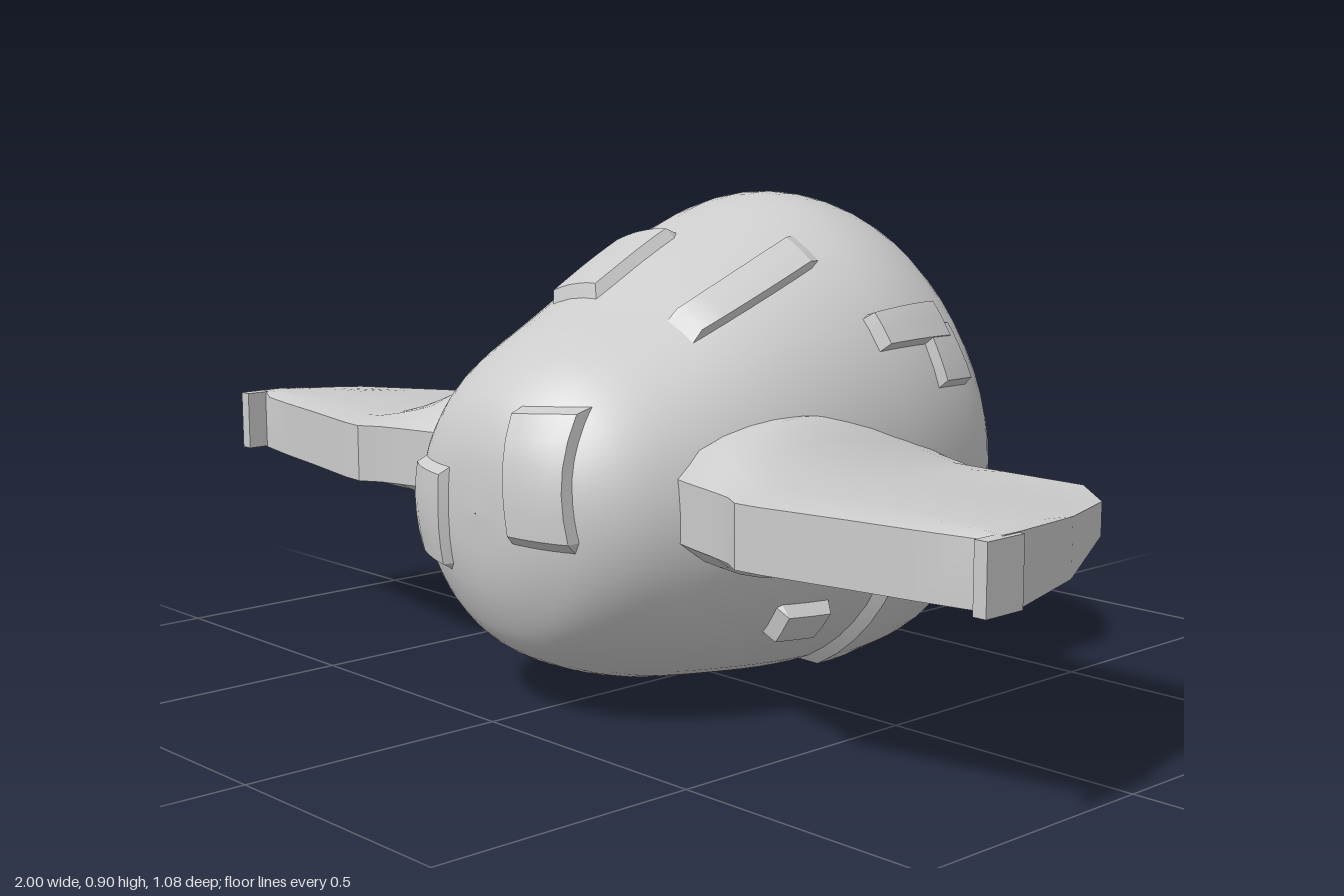
import * as THREE from 'three';
import { toCreasedNormals } from 'three/addons/utils/BufferGeometryUtils.js';

const V2 = (x, y) => new THREE.Vector2(x, y);
const V3 = (x, y, z) => new THREE.Vector3(x, y, z);
const { lerp, smoothstep, degToRad } = THREE.MathUtils;
const material = new THREE.MeshStandardMaterial({ color: 0xcccccc });

function part(name, geometry) {
  const mesh = new THREE.Mesh(geometry, material);
  mesh.name = name;
  return mesh;
}

// Joins rows of points into a skin; wrap closes each row, cap fills the last one
function skin(rows, wrap = false, cap = false) {
  const n = rows[0].length, index = [];
  for (let r = 0; r < rows.length - 1; r++) {
    for (let c = 0; c < (wrap ? n : n - 1); c++) {
      const a = r * n + c, d = r * n + (c + 1) % n;
      index.push(a, a + n, d + n, a, d + n, d);
    }
  }
  const last = (rows.length - 1) * n;
  if (cap) for (let c = 1; c < n - 1; c++) index.push(last, last + c + 1, last + c);
  const geometry = new THREE.BufferGeometry().setFromPoints(rows.flat());
  geometry.setIndex(index);
  geometry.computeVertexNormals();
  return geometry;
}

// Egg-shaped hull: tilted rings from nose to tail, then into the rear opening
function hullGeometry() {
  // zTop, yTop, zBottom, yBottom, halfWidth
  const rings = [
    [0.53, 0.381, 0.53, 0.379, 0.001], [0.525, 0.48, 0.52, 0.28, 0.11],
    [0.50, 0.555, 0.495, 0.20, 0.19], [0.46, 0.605, 0.45, 0.13, 0.25],
    [0.39, 0.66, 0.37, 0.082, 0.305], [0.25, 0.73, 0.25, 0.043, 0.36],
    [0.10, 0.81, 0.10, 0.02, 0.398], [-0.07, 0.885, -0.06, 0.004, 0.423],
    [-0.18, 0.905, -0.20, 0.006, 0.432], [-0.28, 0.88, -0.34, 0.032, 0.42],
    [-0.32, 0.82, -0.44, 0.085, 0.38], [-0.325, 0.75, -0.475, 0.17, 0.315],
    [-0.30, 0.69, -0.44, 0.24, 0.23], [-0.24, 0.65, -0.31, 0.28, 0.19],
    [-0.23, 0.461, -0.23, 0.459, 0.001],
  ];
  const top = new THREE.SplineCurve(rings.map(r => V2(r[0], r[1])));
  const bottom = new THREE.SplineCurve(rings.map(r => V2(r[2], r[3])));
  const width = new THREE.SplineCurve(rings.map(r => V2(r[4], 0)));
  const rows = [], steps = 56, sides = 56;
  for (let k = 0; k <= steps; k++) {
    const a = top.getPoint(k / steps), b = bottom.getPoint(k / steps), w = width.getPoint(k / steps).x;
    rows.push(Array.from({ length: sides }, (_, j) => {
      const t = (j / sides) * Math.PI * 2, f = (Math.sin(t) + 1) / 2;
      return V3(w * Math.cos(t), lerp(b.y, a.y, f), lerp(b.x, a.x, f));
    }));
  }
  return skin(rows, true);
}

// Wing: thick leading edge, thin trailing edge, flared root
function wingGeometry() {
  // x, zFront, zBack
  const stations = [
    [0.30, 0.34, -0.2], [0.34, 0.352, -0.23], [0.38, 0.363, -0.23], [0.41, 0.37, -0.228],
    [0.44, 0.378, -0.22], [0.48, 0.39, -0.21], [0.52, 0.414, -0.21], [0.57, 0.41, -0.21],
    [0.73, 0.38, -0.21], [0.85, 0.36, -0.1], [0.95, 0.34, 0.11], [0.99, 0.33, 0.29],
  ];
  const n = 12;
  const rows = stations.map(([x, front, back]) => {
    const flare = Math.min(0.09, 0.085 * Math.max(0, (0.56 - x) / 0.16) ** 1.5);
    const upper = [], lower = [];
    for (let i = 0; i <= n; i++) {
      const z = lerp(front, back, i / n), f = smoothstep(z, -0.2, 0.28);
      const bulge = flare * Math.max(0, Math.sin(Math.PI * i / n)) ** 0.7;
      upper.push(V3(x, lerp(0.435, 0.468, f) + bulge - (i === 0 ? 0.01 : 0), z));
      lower.unshift(V3(x, lerp(0.385, 0.35, f) - bulge, z));
    }
    return [...upper, ...lower];
  });
  return toCreasedNormals(skin(rows, true, true), 0.6);
}

// Raised plate following the hull. Corners run counter-clockwise from outside:
// [x, y] for nose plates, [angle in degrees, z] for plates around the hull
function plate(hull, name, corners, height = 0.02, nose = false) {
  const [bl, br, tr, tl] = corners.map(c => V2(...c));
  const ray = new THREE.Raycaster();
  const stops = [0, 0.1, 0.26, 0.42, 0.58, 0.74, 0.9, 1];
  const rows = stops.map((s, i) => stops.map((t, j) => {
    const p = bl.clone().lerp(br, s).lerp(tl.clone().lerp(tr, s), t);
    if (nose) {
      ray.set(V3(p.x, p.y, 2), V3(0, 0, -1));
    } else {
      const a = degToRad(p.x), dir = V3(Math.cos(a), Math.sin(a), 0);
      ray.set(V3(0, 0.455, p.y).addScaledVector(dir, 2), dir.clone().negate());
    }
    const hit = ray.intersectObject(hull)[0];
    const rim = i % (stops.length - 1) === 0 || j % (stops.length - 1) === 0;
    return hit.point.clone().addScaledVector(hit.normal, rim ? -0.005 : height);
  }));
  return part(name, toCreasedNormals(skin(rows), 0.5));
}

// Faceted collar, open at the top, its lower lip narrower and drawn further back
function collarGeometry() {
  const profile = [V2(0.26, -0.05), V2(0.25, 0.04), V2(0.215, 0.05), V2(0.18, -0.13)];
  const geometry = new THREE.LatheGeometry(profile, 9, 0.4, Math.PI * 2 - 0.8);
  const pos = geometry.attributes.position;
  for (let i = 0; i < pos.count; i++) {
    const low = smoothstep(-pos.getZ(i), 0.05, 0.24);
    pos.setX(i, pos.getX(i) * (0.92 - 0.25 * low));
    pos.setZ(i, pos.getZ(i) * 1.1);
    if (pos.getY(i) > 0) pos.setY(i, pos.getY(i) + 0.03 * low);
  }
  return toCreasedNormals(geometry, 0.3);
}

// Toothed disc turning about the x axis
function gearGeometry(root, tip, teeth) {
  const shape = new THREE.Shape();
  const step = (Math.PI * 2) / teeth;
  for (let i = 0; i < teeth; i++) {
    [[-0.4, root], [-0.18, tip], [0.18, tip], [0.4, root]].forEach(([o, r], k) => {
      const a = (i + o) * step;
      shape[i + k ? 'lineTo' : 'moveTo'](r * Math.cos(a), r * Math.sin(a));
    });
  }
  shape.closePath();
  return new THREE.ExtrudeGeometry(shape, { depth: 0.02, bevelEnabled: false })
    .translate(0, 0, -0.01).rotateY(Math.PI / 2);
}

export function createModel() {
  const model = new THREE.Group();
  model.name = 'wingedPod';

  const hull = part('hull', hullGeometry());
  model.add(hull);

  // Wings with a small lip at each tip
  for (const side of [1, -1]) {
    const wing = new THREE.Group();
    wing.name = side > 0 ? 'leftWing' : 'rightWing';
    const lip = part('wingTipLip', new THREE.BoxGeometry(0.025, 0.115, 0.085));
    lip.position.set(0.9875, 0.409, 0.333);
    wing.add(part('wingBlade', wingGeometry()), lip);
    wing.scale.x = side;
    model.add(wing);
  }

  // Plates on the nose
  model.add(
    plate(hull, 'noseRightPlate', [[-0.23, 0.265], [-0.085, 0.255], [-0.075, 0.455], [-0.22, 0.455]], 0.015, true),
    plate(hull, 'noseLeftPlate', [[0.09, 0.335], [0.225, 0.33], [0.185, 0.58], [0.06, 0.575]], 0.02, true),
  );

  // Plates around the hull
  const plates = [
    ['topPlate', [[90, 0.255], [90, 0.04], [115, 0.04], [121, 0.245]]],
    ['topStrip', [[43, 0.235], [53, -0.065], [65, -0.065], [58, 0.24]], 0.013],
    ['cornerPlateLong', [[26, -0.075], [26, -0.26], [37, -0.245], [36, -0.065]]],
    ['cornerPlateShort', [[15, -0.195], [15, -0.285], [32, -0.253], [32, -0.18]], 0.018],
    ['upperRightPlate', [[130, 0.035], [130, -0.175], [164, -0.185], [164, 0.025]]],
    ['lowerLeftPlate', [[-70, -0.1], [-70, -0.325], [-26, -0.315], [-26, -0.095]]],
    ['smallBlock', [[-46, 0.125], [-46, 0.015], [-36, 0.01], [-36, 0.13]], 0.028],
    ['lowerRightPlate', [[207, 0.08], [207, -0.12], [243, -0.12], [243, 0.08]]],
    ['bellyPlate', [[236, 0.36], [236, 0.17], [259, 0.17], [259, 0.34]], 0.012],
  ];
  for (const [name, corners, height] of plates) model.add(plate(hull, name, corners, height));

  // Collar around the tilted rear opening
  const collar = part('rearCollar', collarGeometry());
  collar.material = new THREE.MeshStandardMaterial({ color: 0xcccccc, side: THREE.DoubleSide });
  collar.rotation.x = -1.27;
  collar.position.set(0, 0.455, -0.388);
  model.add(collar);

  // Grinder: hub with a row of toothed discs
  const grinder = new THREE.Group();
  grinder.name = 'grinder';
  const hub = part('grinderHub', new THREE.SphereGeometry(0.13, 24, 16));
  hub.scale.x = 1.35;
  grinder.add(hub);
  for (const x of [-0.13, -0.045, 0.045, 0.13]) {
    const r = Math.abs(x) > 0.1 ? 0.155 : 0.197;
    const gear = part('grinderDisc', gearGeometry(r - 0.055, r, 18));
    gear.position.x = x;
    grinder.add(gear);
  }
  grinder.position.set(0, 0.455, -0.34);
  model.add(grinder);

  return model;
}
